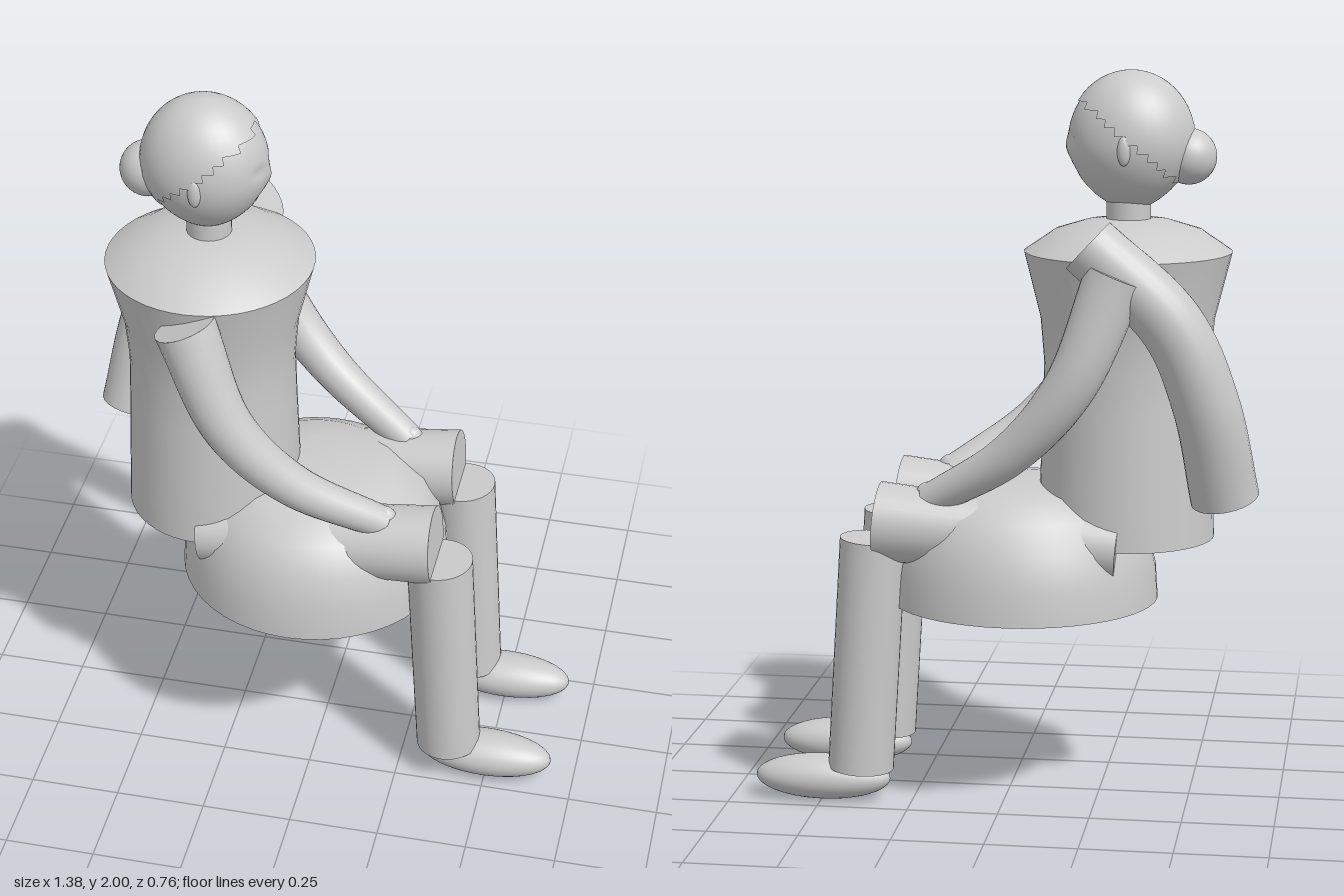
import * as THREE from 'three';
import { toCreasedNormals } from 'three/addons/utils/BufferGeometryUtils.js';

const material = new THREE.MeshStandardMaterial({ color: 0xcccccc });
const thin = new THREE.MeshStandardMaterial({ color: 0xcccccc, side: THREE.DoubleSide });
const V = (x, y, z) => new THREE.Vector3(x, y, z);
const HEAD = V(-0.325, 1.815, 0);

function add(parent, name, geometry, position = [0, 0, 0], scale = [1, 1, 1], mat = material) {
  const mesh = new THREE.Mesh(geometry, mat);
  mesh.name = name;
  mesh.position.set(...position);
  mesh.scale.set(...scale);
  parent.add(mesh);
  return mesh;
}

// Turned body part with sharp rims
function turned(profile) {
  const points = profile.map(([r, y]) => new THREE.Vector2(r, y));
  return toCreasedNormals(new THREE.LatheGeometry(points, 48), 0.6);
}

// Straight capped limb between two points
function limb(parent, name, from, to, r0, r1) {
  const dir = to.clone().sub(from);
  const geometry = new THREE.CylinderGeometry(r1, r0, dir.length(), 32);
  const mid = from.clone().add(to).multiplyScalar(0.5);
  const mesh = add(parent, name, geometry, mid.toArray());
  mesh.quaternion.setFromUnitVectors(V(0, 1, 0), dir.normalize());
}

// Curved, tapered sleeve with flat ends
function sleeve(parent, name, points, r0, r1) {
  const group = new THREE.Group();
  group.name = name;
  parent.add(group);
  const curve = new THREE.CatmullRomCurve3(points);
  const rings = 32, sides = 24;
  const geometry = new THREE.TubeGeometry(curve, rings, 1, sides);
  const pos = geometry.attributes.position;
  const p = V(0, 0, 0);
  for (let i = 0; i <= rings; i++) {
    const centre = curve.getPointAt(i / rings);
    const r = THREE.MathUtils.lerp(r0, r1, i / rings);
    for (let j = 0; j <= sides; j++) {
      const k = i * (sides + 1) + j;
      p.fromBufferAttribute(pos, k).sub(centre).multiplyScalar(r).add(centre);
      pos.setXYZ(k, p.x, p.y, p.z);
    }
  }
  add(group, name + 'Tube', geometry);
  for (const [t, r, sign] of [[0, r0, -1], [1, r1, 1]]) {
    const cap = add(group, name + 'End', new THREE.CircleGeometry(r, sides), curve.getPointAt(t).toArray());
    cap.quaternion.setFromUnitVectors(V(0, 0, 1), curve.getTangentAt(t).multiplyScalar(sign));
  }
}

// Egg-shaped skull, narrowing to the chin; the face looks along +x
function eggPoint(n, grow) {
  const taper = n.y < 0 ? 1 - 0.18 * n.y * n.y : 1;
  return V(n.x * (0.168 + grow) * taper, n.y * (0.183 + grow), n.z * (0.145 + grow) * taper);
}

function headGeometry() {
  const geometry = new THREE.SphereGeometry(1, 64, 48);
  const pos = geometry.attributes.position;
  const n = V(0, 0, 0);
  for (let i = 0; i < pos.count; i++) {
    n.fromBufferAttribute(pos, i);
    const p = eggPoint(n, 0);
    if (n.x > 0) {
      // Shallow eye sockets, nose and mouth
      const bump = (y, z, w, h) => Math.exp(-(((n.y - y) / h) ** 2) - ((Math.abs(n.z) - z) / w) ** 2);
      p.x += 0.008 * bump(-0.1, 0, 0.09, 0.16) - 0.008 * bump(0.06, 0.32, 0.16, 0.08)
        - 0.004 * bump(-0.42, 0, 0.2, 0.05);
    }
    pos.setXYZ(i, p.x, p.y, p.z);
  }
  geometry.computeVertexNormals();
  return geometry;
}

// Hair shell: the faces of a larger egg that lie above the stepped hairline
function hairGeometry() {
  const geometry = new THREE.SphereGeometry(1, 36, 26);
  const pos = geometry.attributes.position;
  const index = geometry.index.array;
  const kept = [];
  const at = (i) => V(0, 0, 0).fromBufferAttribute(pos, i);
  // SphereGeometry makes two triangles per cell, one per cell at the poles
  for (let i = 0; i < index.length;) {
    const size = i < 36 * 3 || i >= index.length - 36 * 3 ? 3 : 6;
    const cell = Array.from(index.slice(i, i + size));
    const c = V(0, 0, 0);
    cell.forEach((k) => c.add(at(k)));
    c.divideScalar(size);
    if (c.y > 0.75 * c.x + 0.04) kept.push(...cell);
    i += size;
  }
  geometry.setIndex(kept);
  for (let i = 0; i < pos.count; i++) {
    const p = eggPoint(at(i), 0.005);
    pos.setXYZ(i, p.x, p.y, p.z);
  }
  geometry.computeVertexNormals();
  return geometry;
}

export function createModel() {
  const model = new THREE.Group();
  model.name = 'seatedFigure';

  // Torso, neck and skirt
  add(model, 'torso', turned([[0, 0.71], [0.24, 0.74], [0.235, 0.9], [0.228, 1.1], [0.225, 1.22],
    [0.235, 1.34], [0.28, 1.52], [0.2, 1.575], [0.12, 1.6], [0, 1.615]]), [-0.32, 0, 0]);
  add(model, 'neck', new THREE.CylinderGeometry(0.06, 0.06, 0.12, 32), [-0.32, 1.61, 0]);
  add(model, 'skirt', turned([[0, 0.53], [0.372, 0.56], [0.366, 0.65], [0.345, 0.74],
    [0.3, 0.82], [0.22, 0.87], [0.12, 0.886], [0, 0.89]]), [-0.035, 0, 0]);

  // Head with hair, ears and bun
  const head = new THREE.Group();
  head.name = 'head';
  head.position.copy(HEAD);
  model.add(head);
  add(head, 'face', headGeometry());
  add(head, 'hair', hairGeometry(), [0, 0, 0], [1, 1, 1], thin);
  add(head, 'hairBun', new THREE.SphereGeometry(0.075, 32, 24), [-0.155, -0.04, 0]);

  for (const s of [1, -1]) {
    const side = s > 0 ? 'right' : 'left';
    add(head, side + 'Ear', new THREE.SphereGeometry(1, 20, 14), [0.005, -0.015, s * 0.14], [0.018, 0.04, 0.014]);

    // Legs
    limb(model, side + 'Thigh', V(-0.315, 0.74, s * 0.175), V(0.337, 0.795, s * 0.177), 0.085, 0.108);
    limb(model, side + 'Shin', V(0.39, 0.1, s * 0.177), V(0.35, 0.747, s * 0.177), 0.09, 0.09);
    add(model, side + 'Foot', new THREE.SphereGeometry(1, 32, 20), [0.497, 0.067, s * 0.172], [0.188, 0.062, 0.074]);

    // Arms resting on the thighs
    sleeve(model, side + 'Arm', [V(-0.317, 1.49, s * 0.285), V(-0.2, 1.2, s * 0.308),
      V(-0.04, 1.01, s * 0.27), V(0.19, 0.86, s * 0.19)], 0.083, 0.045);
    add(model, side + 'Hand', new THREE.SphereGeometry(1, 20, 14), [0.195, 0.875, s * 0.187], [0.035, 0.034, 0.028]);
  }

  // Rolled drape falling from the shoulder down the back
  sleeve(model, 'drape', [V(-0.24, 1.565, -0.253), V(-0.46, 1.36, -0.258),
    V(-0.55, 1.15, -0.235), V(-0.6, 0.885, -0.17)], 0.083, 0.092);

  return model;
}
